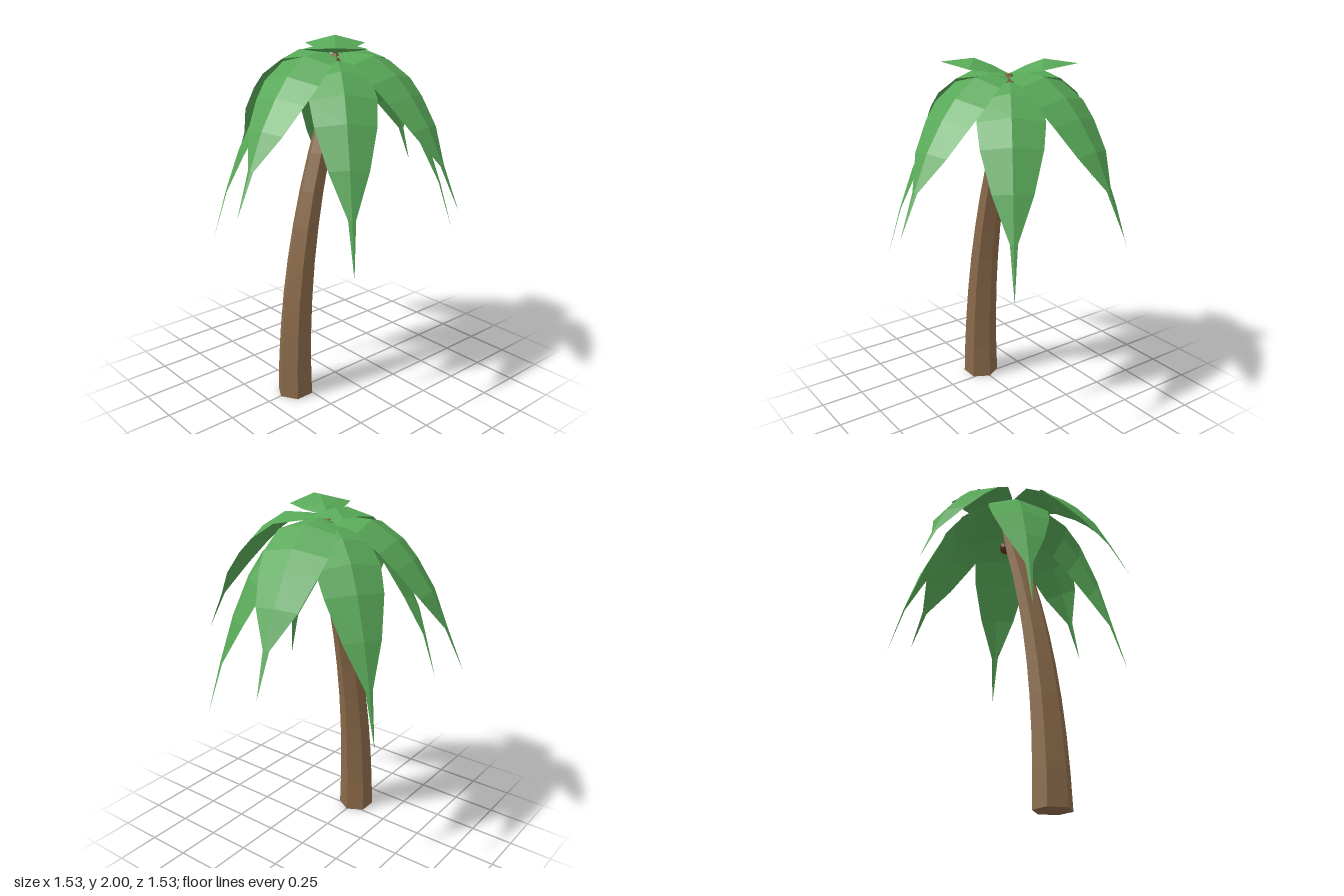
import * as THREE from 'three';

const bark = new THREE.MeshStandardMaterial({ color: 0x8a6a4a, flatShading: true });
const nutBrown = new THREE.MeshStandardMaterial({ color: 0x5a3326, flatShading: true });
const green = new THREE.MeshStandardMaterial({ color: 0x58a858, flatShading: true, side: THREE.DoubleSide });

// Frond cross-sections from root to tip: [distance outward, height, half width]
const LOWER = [[0, 1.87, 0], [0.1, 1.89, 0.1], [0.22, 1.85, 0.155], [0.34, 1.75, 0.175],
  [0.43, 1.62, 0.16], [0.53, 1.41, 0.105], [0.61, 1.18, 0.02], [0.69, 0.9, 0]];
const MIDDLE = [[0, 1.9, 0], [0.11, 1.93, 0.1], [0.25, 1.925, 0.16], [0.39, 1.835, 0.178],
  [0.48, 1.74, 0.16], [0.59, 1.59, 0.115], [0.68, 1.41, 0.018], [0.78, 1.19, 0]];
const UPPER = [[0, 1.92, 0], [0.09, 1.965, 0.11], [0.185, 2.0, 0.168], [0.365, 1.978, 0]];

// Frond folded along its spine: each section is left edge, spine, right edge
function frondGeometry(sections) {
  const positions = [], index = [];
  sections.forEach(([z, y, w], i) => {
    const a = sections[Math.max(i - 1, 0)];
    const b = sections[Math.min(i + 1, sections.length - 1)];
    const dz = b[0] - a[0], dy = b[1] - a[1], len = Math.hypot(dz, dy);
    const drop = 0.25 * w;
    const ey = y - (dz / len) * drop, ez = z + (dy / len) * drop;
    positions.push(-w, ey, ez, 0, y, z, w, ey, ez);
    if (i === 0) return;
    for (let k = 0; k < 2; k++) {
      const p = (i - 1) * 3 + k, q = i * 3 + k;
      index.push(p, q, q + 1, p, q + 1, p + 1);
    }
  });
  const geometry = new THREE.BufferGeometry();
  geometry.setAttribute('position', new THREE.Float32BufferAttribute(positions, 3));
  geometry.setIndex(index);
  geometry.computeVertexNormals();
  return geometry;
}

// Ring of equal fronds, the first one pointing towards (x, z)
function frondRing(name, sections, count, x, z) {
  const ring = new THREE.Group();
  ring.name = name;
  const geometry = frondGeometry(sections);
  for (let i = 0; i < count; i++) {
    const frond = new THREE.Mesh(geometry, green);
    frond.name = 'frond';
    frond.rotation.y = Math.atan2(x, z) + (i * Math.PI * 2) / count;
    ring.add(frond);
  }
  return ring;
}

// Six-sided trunk that tapers and leans over towards the crown
function createTrunk() {
  const geometry = new THREE.CylinderGeometry(1, 1, 2, 6, 10, false, Math.PI / 2);
  const pos = geometry.attributes.position;
  for (let i = 0; i < pos.count; i++) {
    const h = pos.getY(i) + 1;
    const y = Math.min(h, 1.92);
    const r = h > 1.9 ? 0.018 : 0.105 - 0.03 * y;
    const lean = Math.min(-0.31 + 0.095 * Math.pow(y, 2.14), 0);
    pos.setXYZ(i, lean + pos.getX(i) * r, y, pos.getZ(i) * r);
  }
  geometry.computeVertexNormals();
  const trunk = new THREE.Mesh(geometry, bark);
  trunk.name = 'trunk';
  return trunk;
}

export function createModel() {
  const palm = new THREE.Group();
  palm.name = 'palmTree';
  palm.add(createTrunk());

  // Three tiers of fronds
  palm.add(frondRing('lowerFronds', LOWER, 4, 0.38, -0.58));
  palm.add(frondRing('middleFronds', MIDDLE, 4, 0.155, 0.765));
  palm.add(frondRing('upperFronds', UPPER, 2, 0.235, -0.27));

  // Small nuts under the crown
  for (const [x, y, z] of [[0.07, 1.69, 0.03], [-0.02, 1.79, 0.065]]) {
    const nut = new THREE.Mesh(new THREE.IcosahedronGeometry(0.038, 1), nutBrown);
    nut.name = 'coconut';
    nut.position.set(x, y, z);
    palm.add(nut);
  }
  return palm;
}
